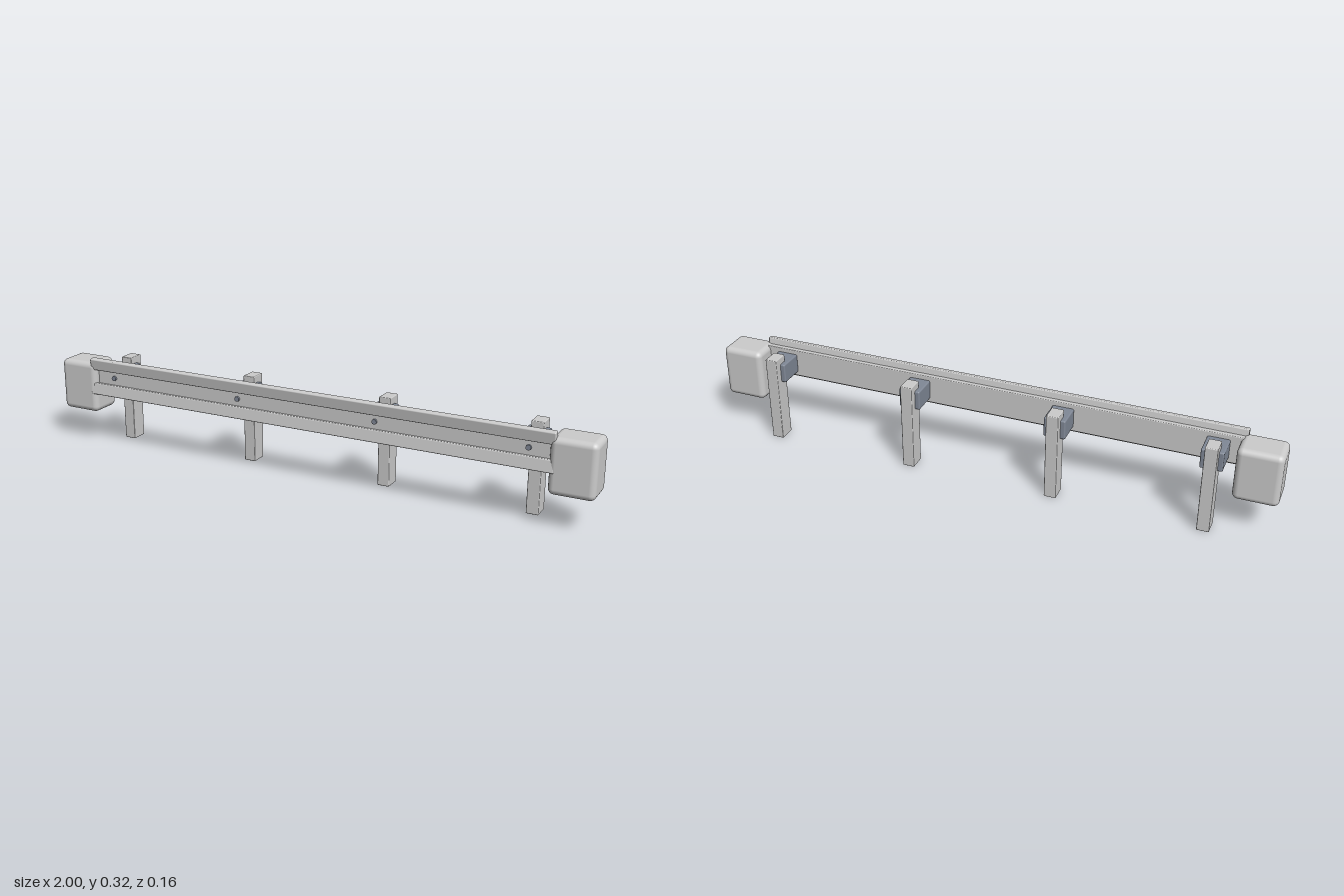
import * as THREE from 'three';
import { RoundedBoxGeometry } from 'three/addons/geometries/RoundedBoxGeometry.js';

const grey = new THREE.MeshStandardMaterial({ color: 0xcccccc });
const dark = new THREE.MeshStandardMaterial({ color: 0x808896 });

export function createModel() {
  const group = new THREE.Group();

  function box(name, size, pos, radius, material = grey, tilt = 0, segments = 2) {
    const mesh = new THREE.Mesh(new RoundedBoxGeometry(...size, segments, radius), material);
    mesh.name = name;
    mesh.position.set(...pos);
    mesh.rotation.x = tilt;
    group.add(mesh);
  }

  // Rail: flat web with two flanges leaning outward
  box('railWeb', [1.72, 0.1, 0.019], [0, 0.253, 0.0445], 0.003);
  box('upperFlange', [1.738, 0.042, 0.022], [0, 0.301, 0.0665], 0.004, grey, 0.17);
  box('lowerFlange', [1.738, 0.042, 0.022], [0, 0.208, 0.0665], 0.004, grey, -0.17);

  // Posts, spacer blocks and bolts
  for (const x of [-0.78, -0.26, 0.26, 0.78]) {
    box('post', [0.042, 0.312, 0.06], [x, 0.157, -0.051], 0.003);
    box('spacerBlock', [0.075, 0.069, 0.092], [x, 0.254, -0.009], 0.005, dark);
    const bolt = new THREE.Mesh(new THREE.CylinderGeometry(0.009, 0.009, 0.012, 12), dark);
    bolt.name = 'bolt';
    bolt.rotation.x = Math.PI / 2;
    bolt.position.set(x, 0.253, 0.055);
    group.add(bolt);
  }

  // Rounded end buffers
  for (const side of [-1, 1]) {
    box('endBuffer', [0.15, 0.187, 0.12], [side * 0.925, 0.2105, 0.019], 0.02, grey, 0, 4);
  }
  return group;
}
